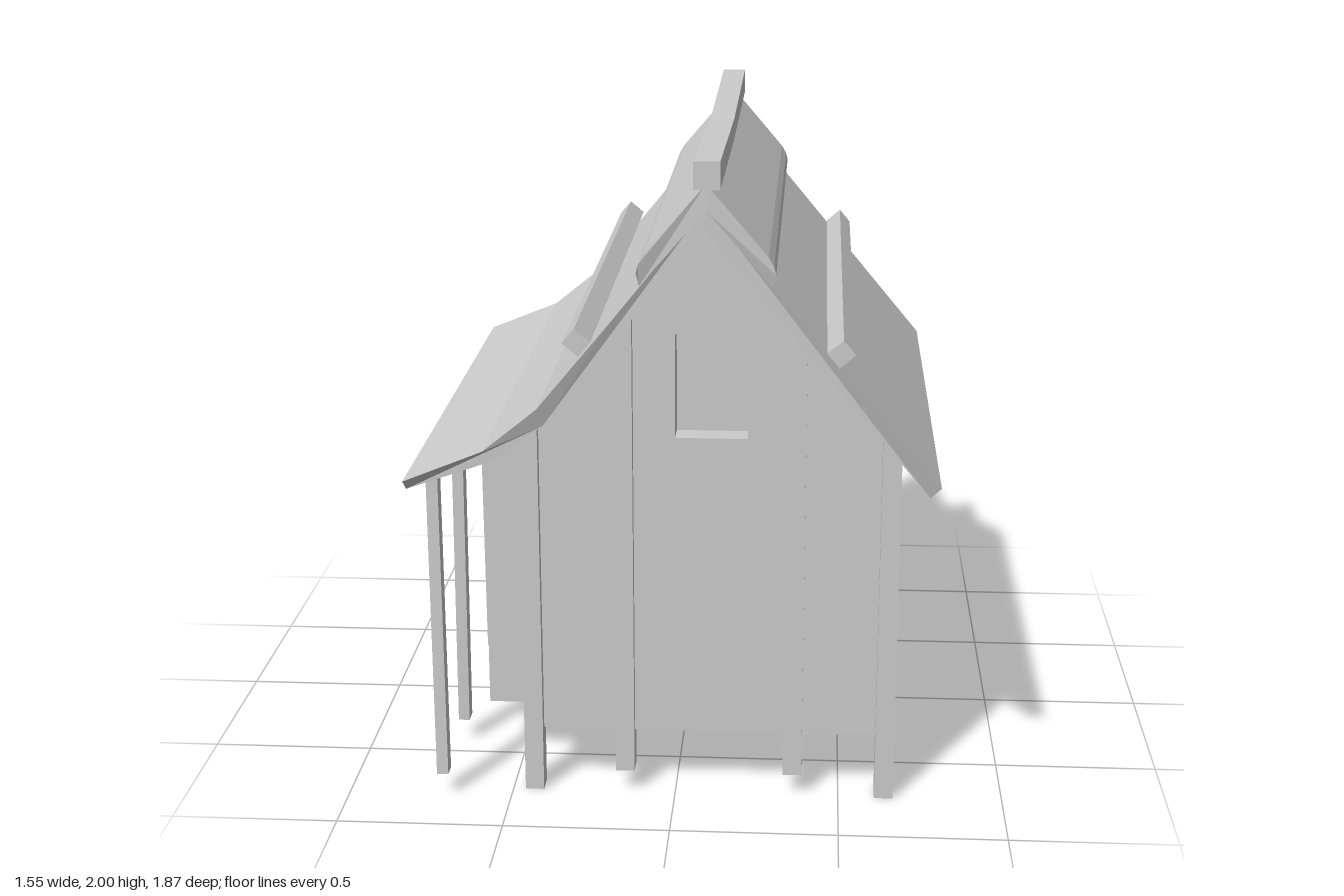
import * as THREE from 'three';

export function createModel() {
  const model = new THREE.Group();
  const mat = new THREE.MeshStandardMaterial({ color: 0xcccccc, flatShading: true, side: THREE.DoubleSide });

  const add = (name, geometry) => {
    geometry.computeVertexNormals();
    const mesh = new THREE.Mesh(geometry, mat);
    mesh.name = name;
    model.add(mesh);
    return mesh;
  };
  const vectors = (pts) => pts.map(([x, y]) => new THREE.Vector2(x, y));
  const outline = (pts) => new THREE.Shape(vectors(pts));

  // Extrude an x-y outline from z0 to z1
  const prism = (name, shape, z0, z1) => {
    const g = new THREE.ExtrudeGeometry(shape, { depth: z1 - z0, bevelEnabled: false });
    g.translate(0, 0, z0);
    return add(name, g);
  };

  // Flat sheet in the x-y plane, facing +z or -z
  const sheet = (name, shape, z) => add(name, new THREE.ShapeGeometry(shape).translate(0, 0, z));

  // Thin wall running along z between two x-y points
  const strip = (name, [xa, ya], [xb, yb], z0, z1) => {
    const g = new THREE.BufferGeometry();
    g.setAttribute('position', new THREE.Float32BufferAttribute(
      [xa, ya, z0, xb, yb, z0, xb, yb, z1, xa, ya, z1], 3));
    g.setIndex([0, 2, 1, 0, 3, 2]);
    return add(name, g);
  };

  // Square post, open below, sheared so it can lean from foot to head
  const post = (name, foot, head, w, d) => {
    const g = new THREE.BoxGeometry(w, 1, d);
    g.setIndex([...g.index.array].filter((_, i) => i < 18 || i >= 24));
    const p = g.attributes.position;
    for (let i = 0; i < p.count; i++) {
      const t = p.getY(i) + 0.5;
      p.setXYZ(i,
        p.getX(i) + THREE.MathUtils.lerp(foot[0], head[0], t),
        THREE.MathUtils.lerp(foot[1], head[1], t),
        p.getZ(i) + THREE.MathUtils.lerp(foot[2], head[2], t));
    }
    return add(name, g);
  };

  // House walls, open below
  const gable = [[-0.43, 0.2], [0.64, 0.2], [0.64, 1.17], [0.1, 1.82], [-0.37, 1.235], [-0.43, 1.195]];
  const windowHole = [[0, 1.14], [0, 1.455], [0.215, 1.455], [0.215, 1.14]];
  const frontWall = outline(gable);
  frontWall.holes.push(new THREE.Path(vectors(windowHole)));
  sheet('frontWall', frontWall, 0.72);
  sheet('backWall', outline(gable), -0.72);
  strip('leftWall', gable[2], gable[1], -0.72, 0.72);
  strip('rightWall', gable[0], gable[5], -0.72, 0.72);

  // Window recess
  sheet('windowPanel', outline(windowHole), 0.64);
  windowHole.forEach((a, i) => strip('windowReveal', a, windowHole[(i + 1) % 4], 0.64, 0.72));

  // Roof, straight on one side and flared on the other; its underside is a little shorter at the eaves
  const underside = [[-0.775, 1.018], [-0.53, 1.105], [-0.37, 1.22], [0.1, 1.8], [0.745, 1.02]];
  const roof = outline([
    [0.1, 1.87], [-0.17, 1.535], [-0.385, 1.275], [-0.545, 1.145], [-0.78, 1.05],
    ...underside, [0.775, 1.06]]);
  const roofGeo = prism('roof', roof, -0.895, 0.905).geometry;
  const p = roofGeo.attributes.position;
  for (let i = 0; i < p.count; i++) {
    const [x, y, z] = [p.getX(i), p.getY(i), p.getZ(i)];
    const below = underside.some(([ux, uy]) => Math.hypot(ux - x, uy - y) < 0.001);
    if (below) p.setZ(i, z - Math.sign(z) * 0.03 * Math.max(0, 1 - (y - 1.02) / 0.7));
  }
  roofGeo.computeVertexNormals();

  // Thick ridge cover with rounded lower edges
  const half = [[0, 1.935], [0.175, 1.73], [0.19, 1.705], [0.196, 1.68], [0.188, 1.64]];
  const cover = outline([
    ...half.map(([x, y]) => [0.1 + x, y]), [0.1, 1.86],
    ...half.slice(1).reverse().map(([x, y]) => [0.1 - x, y])]);
  const coverGeo = prism('ridgeCover', cover, -0.93, 0.92).geometry;
  const cp = coverGeo.attributes.position;
  for (let i = 0; i < cp.count; i++) if (cp.getY(i) < 1.67) cp.setZ(i, cp.getZ(i) * 0.985);
  coverGeo.computeVertexNormals();

  // Sagging ridge beam
  const ridge = new THREE.BoxGeometry(0.075, 0.08, 1.87, 1, 1, 8);
  const rp = ridge.attributes.position;
  for (let i = 0; i < rp.count; i++) {
    const t = Math.abs(rp.getZ(i)) / 0.935;
    const y = rp.getY(i) > 0 ? 1.97 + 0.03 * t : 1.905 + 0.015 * t;
    rp.setXYZ(i, rp.getX(i) + 0.1025, y, rp.getZ(i));
  }
  add('ridgeBeam', ridge);

  // Battens lying on the two slopes
  for (const [x, y, tilt] of [[0.482, 1.459, -0.87], [-0.265, 1.481, 0.87]]) {
    const batten = add('roofBatten', new THREE.BoxGeometry(0.055, 0.06, 1.86));
    batten.position.set(x, y, 0.003);
    batten.rotation.z = tilt;
  }

  // Wall posts on the front and back: [x, foot, head, back z]
  const posts = [[0.639, 0.005, 1.18, -0.718], [0.358, 0.075, 1.525, -0.735],
    [-0.153, 0.075, 1.515, -0.735], [-0.434, 0.005, 1.185, -0.718]];
  for (const [x, y0, y1, zb] of posts) {
    post('frontPost', [x, y0, 0.718], [x, y1, 0.718], 0.057, 0.068);
    post('backPost', [x, y0, zb], [x, y1, zb], 0.057, 0.06);
  }

  // Leaning posts under the flared eave
  post('eavePost', [-0.708, 0.08, 0.795], [-0.715, 1.05, 0.77], 0.035, 0.05);
  post('eavePost', [-0.705, 0.08, 0.4], [-0.7, 1.06, 0.4], 0.035, 0.055);
  post('eavePost', [-0.705, 0.08, -0.225], [-0.71, 1.05, -0.225], 0.035, 0.05);
  post('eavePost', [-0.655, 0.08, -0.67], [-0.69, 1.06, -0.71], 0.035, 0.045);

  // Side annex, open below, with a door frame
  const annex = outline([[-0.6, 0.2], [-0.43, 0.2], [-0.43, 1.145], [-0.6, 1.05]]);
  sheet('annexFront', annex, 0.54);
  sheet('annexBack', annex, -0.38);
  strip('annexWall', [-0.6, 0.2], [-0.6, 1.05], -0.38, 0.54);
  strip('annexTop', [-0.6, 1.05], [-0.43, 1.145], -0.38, 0.54);
  for (const z of [0, 0.285]) post('doorPost', [-0.61, 0.15, z], [-0.61, 1.045, z], 0.028, 0.034);
  prism('doorLintel', outline([[-0.622, 0.91], [-0.597, 0.91], [-0.597, 0.94], [-0.622, 0.94]]), 0, 0.285);

  return model;
}
